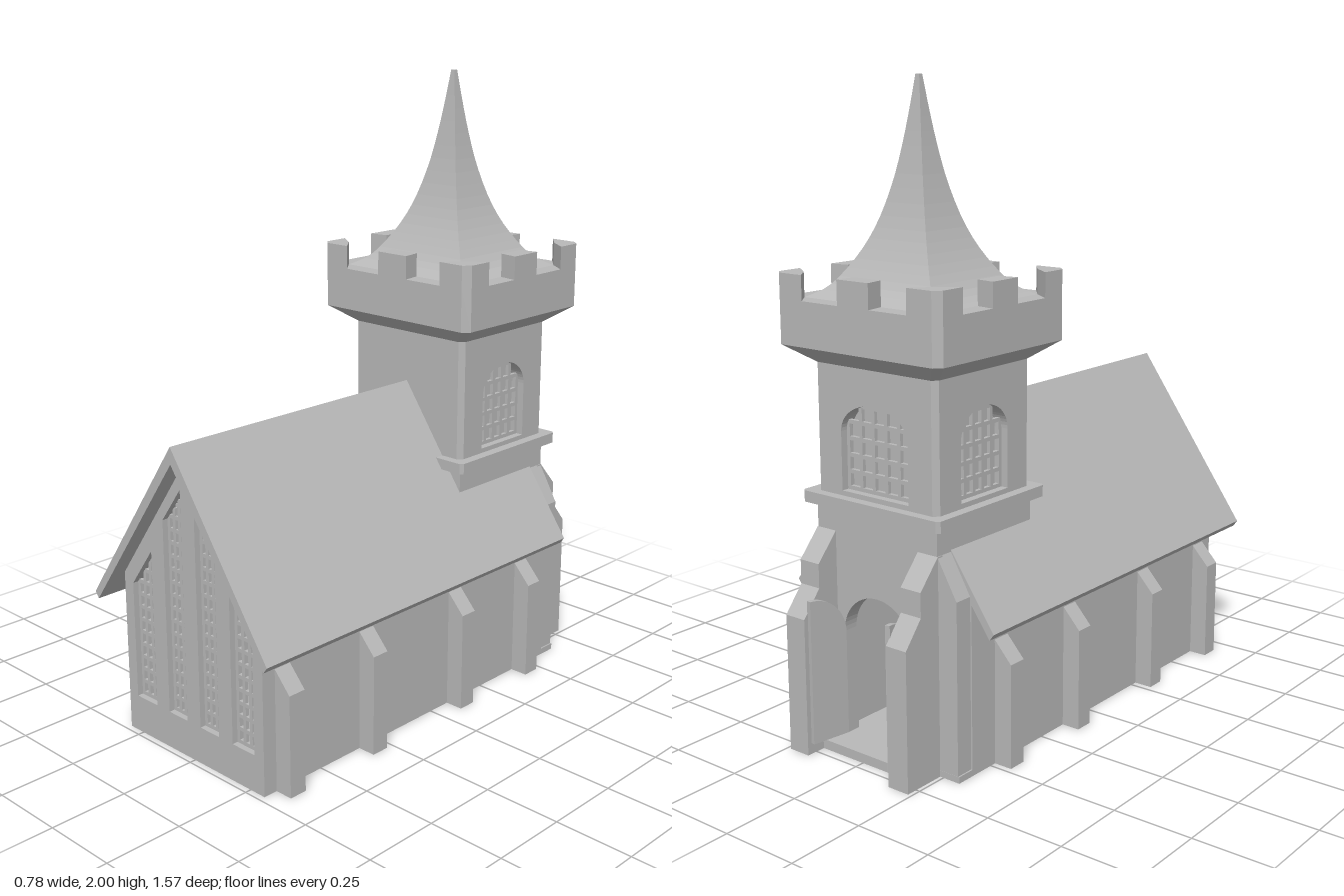
import * as THREE from 'three';

const stone = new THREE.MeshStandardMaterial({ color: 0xb8b8b8 });
stone.name = 'stone grey';

function add(parent, name, geo, x = 0, y = 0, z = 0, ry = 0) {
  const m = new THREE.Mesh(geo, stone);
  m.name = name;
  m.position.set(x, y, z);
  m.rotation.y = ry;
  parent.add(m);
  return m;
}
const group = (parent, name, x = 0, y = 0, z = 0, ry = 0) => {
  const g = new THREE.Group();
  g.name = name;
  g.position.set(x, y, z);
  g.rotation.y = ry;
  parent.add(g);
  return g;
};
// box given by its limits
function block(parent, name, x0, x1, y0, y1, z0, z1) {
  return add(parent, name, new THREE.BoxGeometry(x1 - x0, y1 - y0, z1 - z0), (x0 + x1) / 2, (y0 + y1) / 2, (z0 + z1) / 2);
}
const poly = (pts) => new THREE.Shape(pts.map((p) => new THREE.Vector2(p[0], p[1])));
const extrude = (shape, z0, z1) =>
  new THREE.ExtrudeGeometry(shape, { depth: z1 - z0, bevelEnabled: false, curveSegments: 14 }).translate(0, 0, z0);
// horizontal outline raised from y0 to y1
const raise = (pts, y0, y1) => extrude(poly(pts), y0, y1).rotateX(-Math.PI / 2);

// arched opening: straight sides to the spring line, elliptical head
function arch(w, y0, spring, top) {
  const p = new THREE.Path();
  p.moveTo(-w, y0);
  p.lineTo(w, y0);
  p.lineTo(w, spring);
  p.absellipse(0, spring, w, top - spring, 0, Math.PI, false);
  p.closePath();
  return p;
}
const archTop = (w, spring, top) => (x) => spring + (top - spring) * Math.sqrt(Math.max(0, 1 - (x / w) ** 2));

// lattice of bars that stays under the line topAt(x)
function lattice(parent, name, x0, x1, y0, topAt, z, cols, step) {
  const g = group(parent, name);
  const b = 0.006;
  let yMax = y0;
  for (let i = 0; i <= cols; i++) {
    const x = x0 + b + ((x1 - x0 - 2 * b) * i) / cols;
    block(g, 'uprightBar', x - b, x + b, y0, topAt(x), z - b, z + b);
  }
  for (let i = 0; i <= 40; i++) yMax = Math.max(yMax, topAt(x0 + ((x1 - x0) * i) / 40));
  for (let y = y0 + b; y < yMax - 0.01; y += step) {
    const xs = [];
    for (let i = 0; i <= 40; i++) {
      const x = x0 + ((x1 - x0) * i) / 40;
      if (topAt(x) >= y) xs.push(x);
    }
    if (xs.length > 1) block(g, 'crossBar', xs[0], xs[xs.length - 1], y - b, y + b, z - b, z + b);
  }
}

// rectangle with cut corners
const cutRect = (a, b, c) => [[a - c, -b], [a, -b + c], [a, b - c], [a - c, b], [-a + c, b], [-a, b - c], [-a, -b + c], [-a + c, -b]];

// buttress from a profile of [outward, height]; ry turns its outward direction
function buttress(parent, name, pts, width, x, z, ry) {
  add(parent, name, extrude(poly(pts), -width / 2, width / 2), x, 0, z, ry);
}

function buildNave(root) {
  const nave = group(root, 'nave');
  block(nave, 'floor', -0.31, 0.31, 0, 0.02, -0.645, 0.73);
  // front gable with four tall sloping windows
  const gable = poly([[-0.31, 0], [0.31, 0], [0.31, 0.54], [0, 0.975], [-0.31, 0.54]]);
  const windows = [[0.03, 0.115, 0.86, 0.745], [0.175, 0.27, 0.63, 0.5]];
  for (const s of [-1, 1]) {
    for (const [a, b, ya, yb] of windows) {
      gable.holes.push(new THREE.Path([[a, 0.12], [b, 0.12], [b, yb], [a, ya]].map((p) => new THREE.Vector2(s * p[0], p[1]))));
      const top = (x) => ya + ((yb - ya) * (Math.abs(x) - a)) / (b - a);
      lattice(nave, 'gableLattice', s > 0 ? a : -b, s > 0 ? b : -a, 0.12, top, 0.705, 3, 0.042);
    }
  }
  add(nave, 'frontGable', extrude(gable, 0.68, 0.73));

  for (const s of [-1, 1]) {
    block(nave, 'sideWall', s > 0 ? 0.27 : -0.31, s > 0 ? 0.31 : -0.27, 0, 0.53, -0.585, 0.69);
    // back gable beside the tower
    const side = [[0.2, 0], [0.31, 0], [0.31, 0.54], [0.2, 0.69]].map((p) => [s * p[0], p[1]]);
    add(nave, 'backGable', extrude(poly(side), -0.585, -0.545));
    // roof slope
    const slope = [[0, 1.01], [0.39, 0.455], [0.375, 0.435], [0, 0.957]].map((p) => [s * p[0], p[1]]);
    add(nave, 'roofSlope', extrude(poly(slope), -0.585, 0.785));
    for (const z of [0.652, 0.303, -0.11, -0.45]) {
      buttress(nave, 'sideButtress', [[-0.01, 0], [0.06, 0], [0.06, 0.325], [0, 0.39], [-0.01, 0.39]], 0.06, s * 0.31, z, s > 0 ? 0 : Math.PI);
    }
  }
}

function buildTower(root) {
  const tower = group(root, 'tower', 0, 0, -0.43);
  const W = 0.235, D = 0.215, T = 0.05, C = 0.016;
  // lower walls, with the arched doorway at the back
  for (const s of [-1, 1]) {
    block(tower, 'lowerSideWall', s > 0 ? W - T : -W, s > 0 ? W : T - W, 0.02, 0.76, -D, D);
  }
  block(tower, 'lowerFrontWall', -W + T, W - T, 0.6, 0.76, D - T, D);
  const doorWall = poly([[-W, 0], [W, 0], [W, 0.76], [-W, 0.76]]);
  doorWall.holes.push(arch(0.135, 0.03, 0.36, 0.49));
  add(tower, 'doorWall', extrude(doorWall, -D, -D + T));
  block(tower, 'doorStep', -0.165, 0.165, 0, 0.03, -0.29, -D);

  // open door leaves
  for (const s of [-1, 1]) {
    const leaf = new THREE.Shape();
    leaf.moveTo(0, 0.035);
    leaf.lineTo(0.128, 0.035);
    leaf.lineTo(0.128, 0.485);
    leaf.absellipse(0.128, 0.36, 0.128, 0.125, Math.PI / 2, Math.PI, false);
    leaf.closePath();
    add(tower, 'doorLeaf', extrude(leaf, -0.008, 0.008), s * 0.135, 0, -D, s > 0 ? 1.4 : Math.PI - 1.4);
    buttress(tower, 'backButtress', [[-0.02, 0], [0.14, 0], [0.14, 0.43], [0.075, 0.51], [0.075, 0.585], [0, 0.67], [-0.02, 0.67]], 0.075, s * 0.2, -D, Math.PI / 2);
    buttress(tower, 'cornerButtress', [[-0.02, 0], [0.07, 0], [0.07, 0.55], [0, 0.67], [-0.02, 0.67]], 0.063, s * W, -0.183, s > 0 ? 0 : Math.PI);
  }

  add(tower, 'stringCourse', raise(cutRect(0.268, 0.246, 0.01), 0.75, 0.785));

  // belfry: plain front, arched lattice windows on the other faces
  block(tower, 'belfryCore', -W + T, W - T, 0.77, 1.2, -D + T, D - T);
  const faces = [[0, W, D, 0], [Math.PI / 2, D, W, 0.107], [Math.PI, W, D, 0.13], [-Math.PI / 2, D, W, 0.107]];
  for (const [angle, half, dist, w] of faces) {
    const face = group(tower, 'belfryFace', 0, 0, 0, angle);
    const h = half - C;
    const wall = poly([[-h, 0.77], [h, 0.77], [h, 1.19], [-h, 1.19]]);
    if (w) {
      wall.holes.push(arch(w, 0.8, 0.98, 1.07));
      lattice(face, 'belfryLattice', -w, w, 0.8, archTop(w, 0.98, 1.07), dist - 0.03, 5, 0.05);
    }
    add(face, 'belfryWall', extrude(wall, dist - T, dist));
  }
  // narrow cut corners
  for (const sx of [-1, 1]) {
    for (const sz of [-1, 1]) {
      const k = C / 2 + 0.03 / Math.SQRT2;
      add(tower, 'cutCorner', new THREE.BoxGeometry(C * Math.SQRT2, 0.42, 0.06), sx * (W - k), 0.98, sz * (D - k), Math.atan2(sx, sz));
    }
  }
  buildCrown(tower, W, D);
}

function buildCrown(tower, W, D) {
  const A = 0.312, B = 0.29;
  // flared corbel: lower rim drawn in to the tower walls
  const corbel = raise(cutRect(A, B, 0.022), 1.175, 1.23);
  const p = corbel.attributes.position;
  for (let i = 0; i < p.count; i++) {
    if (p.getY(i) < 1.2) p.setXYZ(i, (p.getX(i) * W) / A, p.getY(i), (p.getZ(i) * D) / B);
  }
  corbel.computeVertexNormals();
  add(tower, 'corbel', corbel);
  add(tower, 'parapet', raise(cutRect(A, B, 0.022), 1.23, 1.365));

  // battlements: four corners and four middles
  const y0 = 1.36, y1 = 1.44;
  for (const sx of [-1, 1]) {
    for (const sz of [-1, 1]) {
      const corner = [[0.2, B], [0.25, 0.23], [A, 0.185], [A, B - 0.022], [A - 0.022, B]];
      add(tower, 'cornerMerlon', raise(corner.map((q) => [sx * q[0], sz * q[1]]), y0, y1));
    }
    add(tower, 'endMerlon', raise([[-0.06, B], [0.06, B], [0.05, 0.228], [-0.05, 0.228]].map((q) => [q[0], sx * q[1]]), y0, y1));
    add(tower, 'sideMerlon', raise([[A, -0.057], [A, 0.057], [0.25, 0.047], [0.25, -0.047]].map((q) => [sx * q[0], q[1]]), y0, y1));
  }

  // concave four-sided spire
  const curve = new THREE.SplineCurve([[0.25, 1.365], [0.2, 1.395], [0.157, 1.45], [0.117, 1.52], [0.085, 1.6], [0.057, 1.7], [0.037, 1.8], [0.021, 1.9], [0.007, 2]].map((q) => new THREE.Vector2(...q)));
  const profile = curve.getPoints(20).map((q) => new THREE.Vector2(q.x * Math.SQRT2, q.y));
  profile.push(new THREE.Vector2(0, 2));
  const spire = new THREE.LatheGeometry(profile, 4).rotateY(Math.PI / 4).scale(1, 1, 0.92).toNonIndexed();
  spire.computeVertexNormals();
  add(tower, 'spire', spire);
}

export function createModel() {
  const root = new THREE.Group();
  root.name = 'church';
  buildNave(root);
  buildTower(root);
  return root;
}
